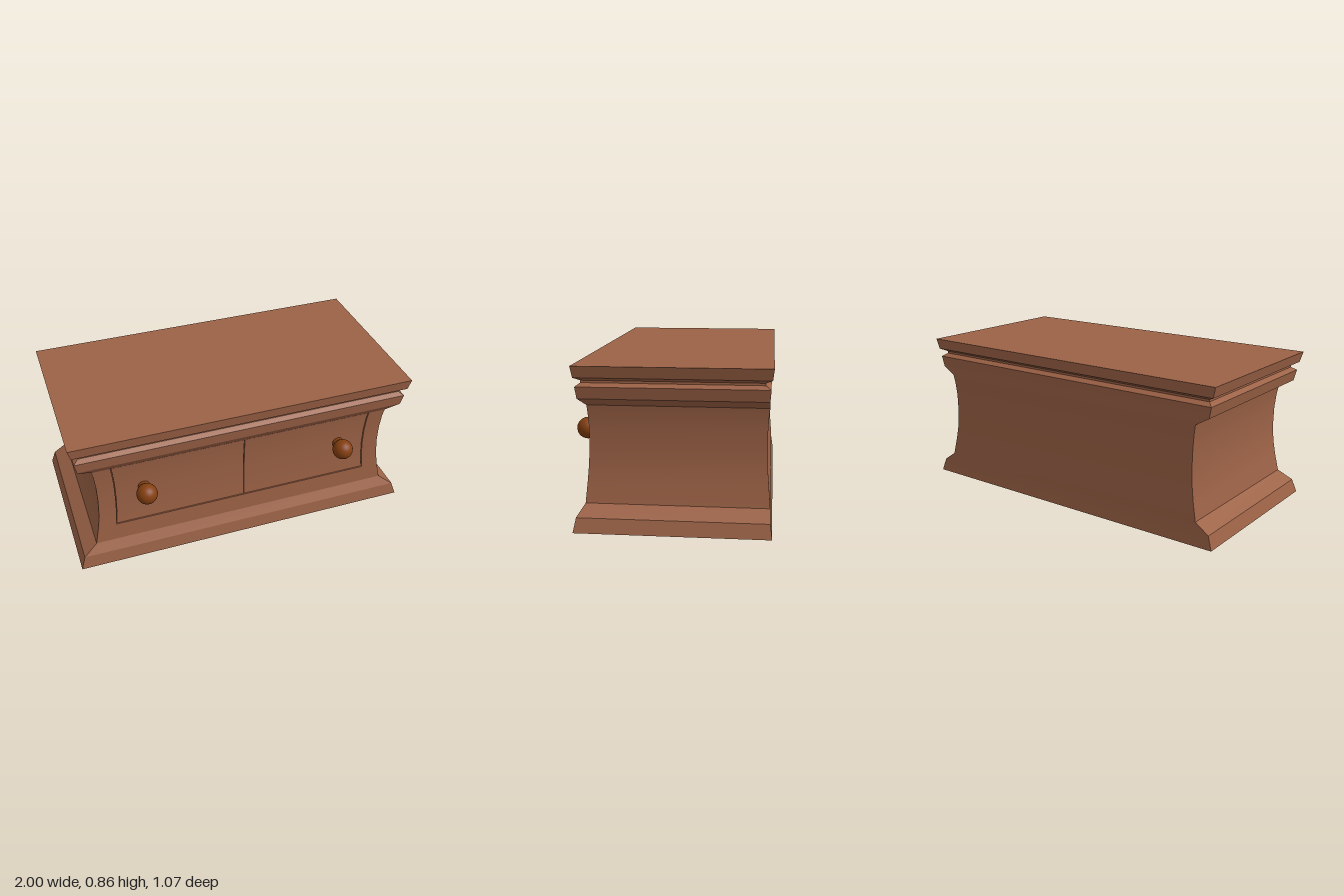
import * as THREE from 'three';
import { toCreasedNormals } from 'three/addons/utils/BufferGeometryUtils.js';

const wood = new THREE.MeshStandardMaterial({ color: 0x9c6246 });
wood.name = 'brown wood';
const knobWood = new THREE.MeshStandardMaterial({ color: 0x843f10 });
knobWood.name = 'dark knob wood';

// Moulding profile, bottom to top: [height, half width, front z, back z]
const PROFILE = [
  [0, 1, 0.48, -0.535], [0.075, 0.975, 0.466, -0.525], [0.13, 0.895, 0.432, -0.523],
  [0.235, 0.873, 0.424, -0.514], [0.32, 0.86, 0.418, -0.507], [0.42, 0.855, 0.413, -0.504],
  [0.52, 0.857, 0.413, -0.504], [0.6, 0.865, 0.417, -0.508], [0.645, 0.873, 0.421, -0.513],
  [0.69, 0.95, 0.452, -0.512], [0.752, 0.963, 0.46, -0.517], [0.77, 0.936, 0.435, -0.49],
  [0.782, 0.936, 0.435, -0.49], [0.8, 0.974, 0.466, -0.523], [0.86, 0.99, 0.475, -0.53],
];
const OPEN_LOW = 0.235, OPEN_HIGH = 0.645, RECESS = 0.02;

// Half width of the drawer opening, which follows the waist of the case
const openingHalf = (halfWidth) => 0.757 + (halfWidth - 0.855) * 0.75;

// Joins closed rings of [x, y, z] points and caps both ends
function loft(rings) {
  const pos = [];
  const a = new THREE.Vector3(), b = new THREE.Vector3(), c = new THREE.Vector3();
  const tri = (p, q, r) => {
    a.fromArray(p); b.fromArray(q).sub(a); c.fromArray(r).sub(a);
    if (b.cross(c).length() > 1e-8) pos.push(...p, ...q, ...r);
  };
  for (let i = 0; i < rings.length - 1; i++) {
    const low = rings[i], up = rings[i + 1], n = low.length;
    for (let j = 0; j < n; j++) {
      const k = (j + 1) % n;
      tri(low[j], low[k], up[k]);
      tri(low[j], up[k], up[j]);
    }
  }
  const first = rings[0], last = rings[rings.length - 1];
  for (let j = 1; j < first.length - 1; j++) {
    tri(first[0], first[j + 1], first[j]);
    tri(last[0], last[j], last[j + 1]);
  }
  const geometry = new THREE.BufferGeometry();
  geometry.setAttribute('position', new THREE.Float32BufferAttribute(pos, 3));
  return toCreasedNormals(geometry, 0.35);
}

// Case outline with a recess of depth d in the front
function caseRing([y, w, front, back], d) {
  const o = openingHalf(Math.min(w, 0.873));
  return [
    [-w, y, front], [-o, y, front], [-o, y, front - d], [o, y, front - d],
    [o, y, front], [w, y, front], [w, y, back], [-w, y, back],
  ];
}

function makeCase() {
  const rings = [];
  for (const level of PROFILE) {
    const y = level[0];
    const inside = y >= OPEN_LOW && y <= OPEN_HIGH;
    // The sill and head of the opening need a flush ring and a recessed ring
    if (!inside || y === OPEN_LOW) rings.push(caseRing(level, 0));
    if (inside) rings.push(caseRing(level, RECESS));
    if (y === OPEN_HIGH) rings.push(caseRing(level, 0));
  }
  return new THREE.Mesh(loft(rings), wood);
}

// Curved drawer front, set just behind the case face
function makeDrawer(side) {
  const gap = 0.004;
  const rings = PROFILE.filter(([y]) => y >= OPEN_LOW && y <= OPEN_HIGH).map(([y, w, front]) => {
    const h = THREE.MathUtils.clamp(y, OPEN_LOW + gap, OPEN_HIGH - gap);
    const ends = [side * 0.002, side * (openingHalf(w) - gap)].sort((p, q) => p - q);
    const z = front - 0.004, inner = front - RECESS - 0.01;
    return [[ends[0], h, z], [ends[1], h, z], [ends[1], h, inner], [ends[0], h, inner]];
  });
  return new THREE.Mesh(loft(rings), wood);
}

// Round knob on a short stem
function makeKnob() {
  const knob = new THREE.Group();
  const ball = new THREE.Mesh(new THREE.SphereGeometry(0.059, 32, 20), knobWood);
  ball.name = 'knobBall';
  ball.position.z = 0.479;
  const stem = new THREE.Mesh(new THREE.CylinderGeometry(0.034, 0.034, 0.06, 24), knobWood);
  stem.name = 'knobStem';
  stem.rotation.x = Math.PI / 2;
  stem.position.z = 0.425;
  knob.add(ball, stem);
  return knob;
}

export function createModel() {
  const model = new THREE.Group();
  model.name = 'drawerChest';

  const body = makeCase();
  body.name = 'case';
  model.add(body);

  for (const [side, label] of [[1, 'left'], [-1, 'right']]) {
    const drawer = makeDrawer(side);
    drawer.name = label + 'Drawer';
    const knob = makeKnob();
    knob.name = label + 'Knob';
    knob.position.set(side * 0.592, 0.463, 0);
    model.add(drawer, knob);
  }
  return model;
}
